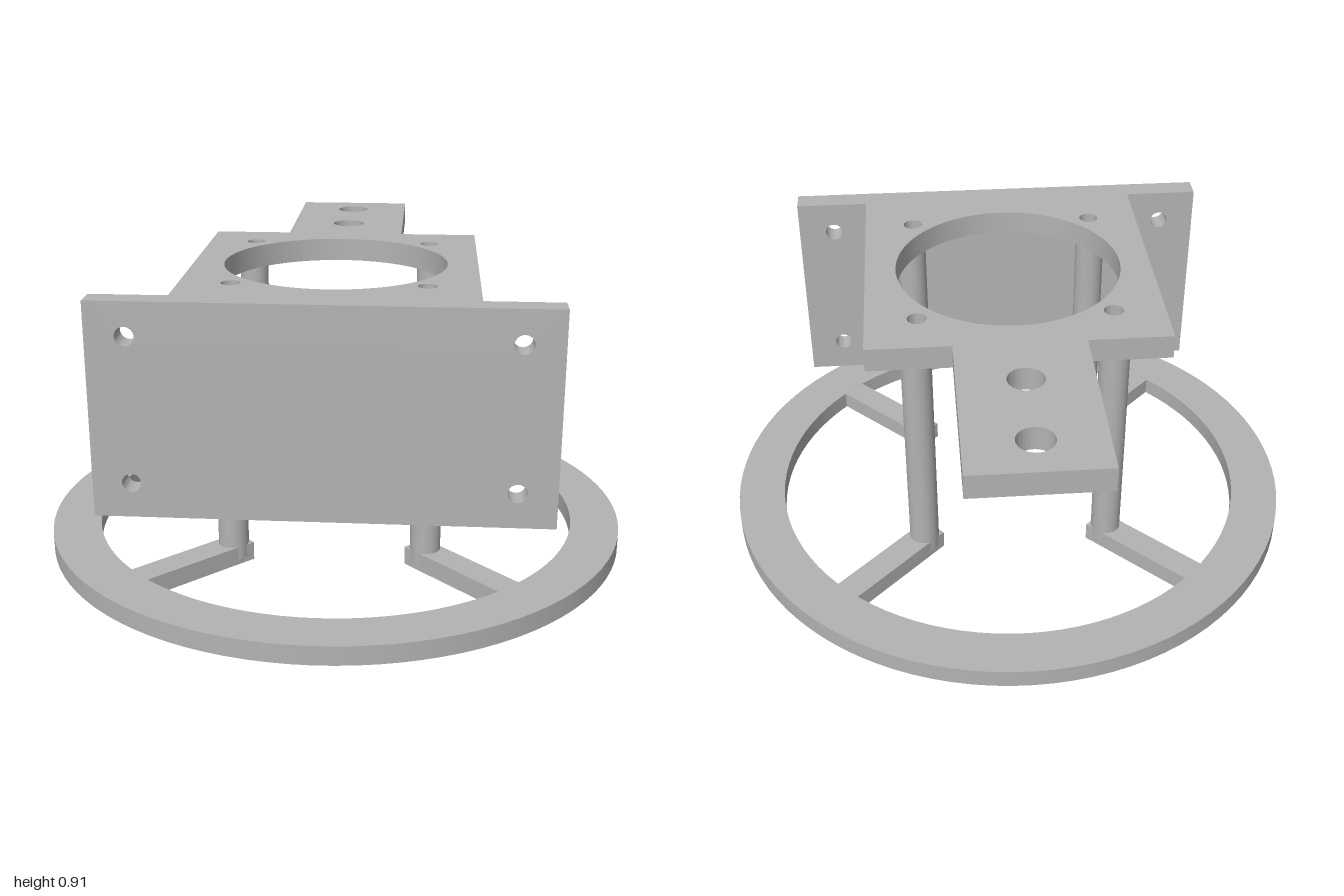
import * as THREE from 'three';
import { toCreasedNormals } from 'three/addons/utils/BufferGeometryUtils.js';

const CZ = 0.053; // z of the ring axis

export function createModel() {
  const model = new THREE.Group();
  model.name = 'mountingBracket';
  const grey = new THREE.MeshStandardMaterial({ color: 0xb3b3b3 });
  grey.name = 'grey';

  const add = (name, geometry) => {
    const mesh = new THREE.Mesh(geometry, grey);
    mesh.name = name;
    model.add(mesh);
    return mesh;
  };
  const polygon = (points) => new THREE.Shape(points.map(([x, y]) => new THREE.Vector2(x, y)));
  const drill = (shape, x, y, r) => shape.holes.push(new THREE.Path().absarc(x, y, r, 0, Math.PI * 2, true));
  const extrude = (shape, depth) =>
    toCreasedNormals(new THREE.ExtrudeGeometry(shape, { depth, bevelEnabled: false, curveSegments: 48 }), 0.6);
  // Lays an extruded outline flat: outline y becomes z, depth runs down from the top
  const flat = (shape, depth, top) => extrude(shape, depth).rotateX(Math.PI / 2).translate(0, top, 0);

  // Base ring
  const ring = new THREE.Shape().absarc(0, CZ, 0.946, 0, Math.PI * 2, false);
  drill(ring, 0, CZ, 0.79);
  add('baseRing', flat(ring, 0.06, 0.06));

  // Top plate with rear tongue, central opening and holes
  const plate = polygon([
    [-0.455, 0.51], [-0.455, -0.406], [-0.198, -0.406], [-0.198, -1],
    [0.198, -1], [0.198, -0.406], [0.455, -0.406], [0.455, 0.51],
  ]);
  drill(plate, 0, 0.048, 0.358);
  drill(plate, 0, -0.865, 0.055);
  drill(plate, 0, -0.588, 0.055);
  for (const sx of [-1, 1]) {
    for (const sz of [-1, 1]) drill(plate, sx * 0.297, 0.048 + sz * 0.297, 0.03);
  }
  add('topPlate', flat(plate, 0.075, 0.91));

  // Upright front plate with corner holes
  const front = polygon([[-0.692, 0.24], [0.692, 0.24], [0.692, 0.91], [-0.692, 0.91]]);
  for (const sx of [-1, 1]) {
    for (const y of [0.35, 0.805]) drill(front, sx * 0.573, y, 0.029);
  }
  add('frontPlate', extrude(front, 0.077).translate(0, 0, 0.508));

  // Four posts, each standing on the inner end of a diagonal spoke
  for (const sx of [-1, 1]) {
    for (const sz of [-1, 1]) {
      const post = add('post', new THREE.CylinderGeometry(0.048, 0.048, 0.815, 32));
      post.position.set(sx * 0.306, 0.4275, CZ + sz * 0.306);

      const inner = 0.387, outer = 0.81, middle = (inner + outer) / 2;
      const spoke = add('spoke', new THREE.BoxGeometry(outer - inner, 0.059, 0.09));
      spoke.position.set(sx * middle * Math.SQRT1_2, 0.03, CZ + sz * middle * Math.SQRT1_2);
      spoke.rotation.y = -Math.atan2(sz, sx);
    }
  }
  return model;
}
